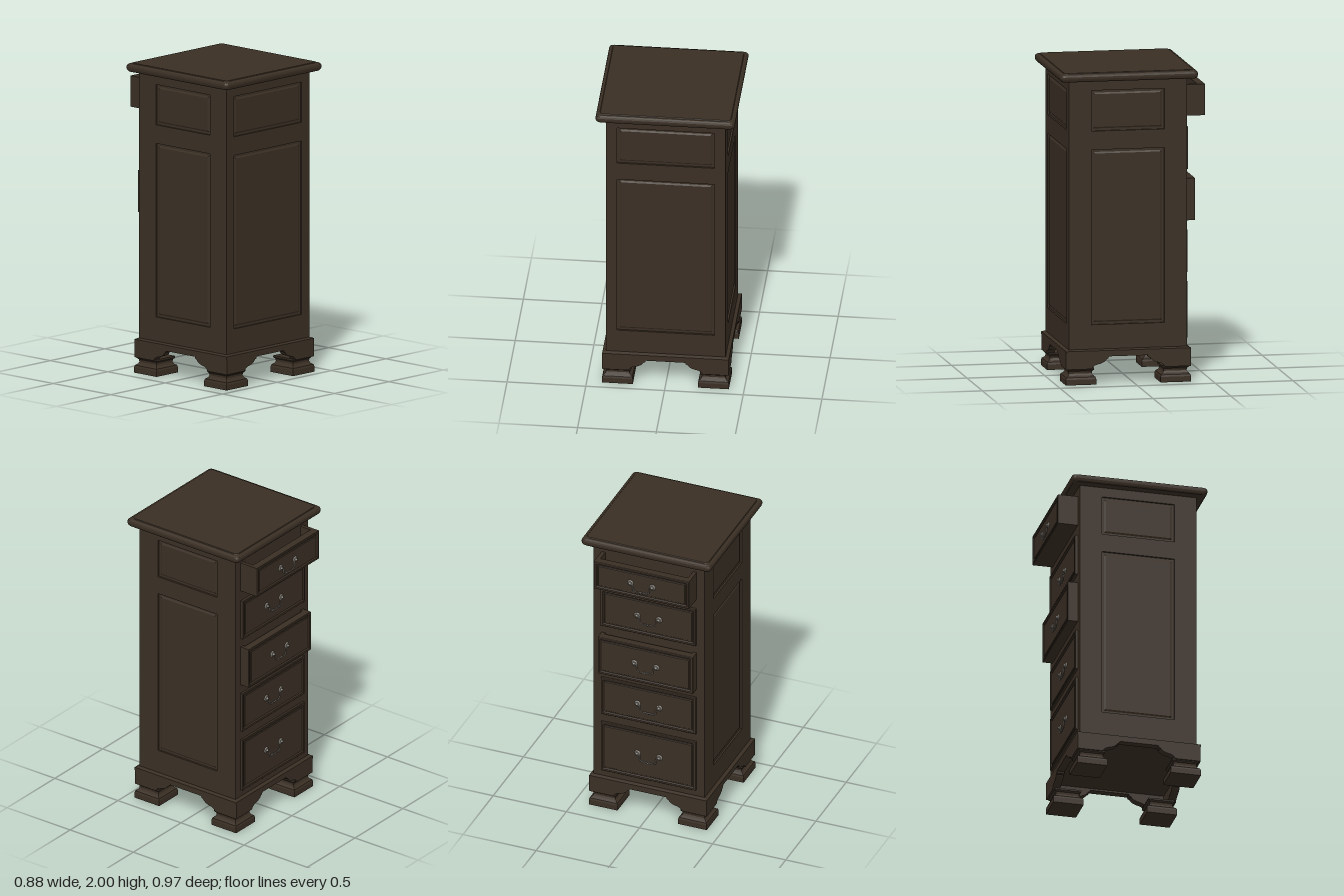
import * as THREE from 'three';

const wood = new THREE.MeshStandardMaterial({ color: 0x3a2f24 });
wood.name = 'dark walnut';
const metal = new THREE.MeshStandardMaterial({ color: 0x8c877f });
metal.name = 'aged pewter';

function add(parent, name, geometry, material, x = 0, y = 0, z = 0) {
  const mesh = new THREE.Mesh(geometry, material);
  mesh.name = name;
  mesh.position.set(x, y, z);
  parent.add(mesh);
  return mesh;
}

const box = (w, h, d) => new THREE.BoxGeometry(w, h, d);

// Stacks rectangles [halfX, halfZ, y] into a closed solid, with optional rounded corners
function loft(sections, radius = 0) {
  const n = radius ? 4 : 0;
  const rings = sections.map(([hx, hz, y]) => {
    const ring = [];
    [[1, 1], [-1, 1], [-1, -1], [1, -1]].forEach(([sx, sz], c) => {
      for (let i = 0; i <= n; i++) {
        const a = (c + (n ? i / n : 0)) * Math.PI / 2;
        ring.push([sx * (hx - radius) + radius * Math.cos(a), y, sz * (hz - radius) + radius * Math.sin(a)]);
        if (!n) ring[ring.length - 1] = [sx * hx, y, sz * hz];
      }
    });
    return ring;
  });
  const out = [];
  const tri = (...p) => p.forEach((v) => out.push(...v));
  const count = rings[0].length;
  const bottom = [0, sections[0][2], 0];
  const top = [0, sections[sections.length - 1][2], 0];
  for (let j = 0; j < count; j++) {
    const k = (j + 1) % count;
    for (let i = 0; i < rings.length - 1; i++) {
      tri(rings[i][j], rings[i + 1][j], rings[i][k]);
      tri(rings[i][k], rings[i + 1][j], rings[i + 1][k]);
    }
    tri(bottom, rings[0][j], rings[0][k]);
    tri(top, rings[rings.length - 1][k], rings[rings.length - 1][j]);
  }
  const geometry = new THREE.BufferGeometry();
  geometry.setAttribute('position', new THREE.Float32BufferAttribute(out, 3));
  geometry.computeVertexNormals();
  return geometry;
}

// Carcass wall with two recessed panels, facing +z
function panelledWall(halfPanel) {
  const wall = new THREE.Group();
  wall.name = 'panelledWall';
  const shape = new THREE.Shape();
  shape.moveTo(-0.38, 0.2).lineTo(0.38, 0.2).lineTo(0.38, 1.95).lineTo(-0.38, 1.95).closePath();
  for (const [y0, y1] of [[0.38, 1.5], [1.62, 1.88]]) {
    const hole = new THREE.Path();
    hole.moveTo(-halfPanel, y0).lineTo(-halfPanel, y1).lineTo(halfPanel, y1).lineTo(halfPanel, y0).closePath();
    shape.holes.push(hole);
    const h = (y1 - y0) / 2;
    const field = add(wall, 'raisedPanel', loft([
      [halfPanel - 0.012, h - 0.012, -0.002], [halfPanel - 0.025, h - 0.025, 0.006],
    ]), wood, 0, (y0 + y1) / 2, 0.368);
    field.rotation.x = Math.PI / 2;
  }
  add(wall, 'wallFrame', new THREE.ExtrudeGeometry(shape, { depth: 0.012, bevelEnabled: false }), wood, 0, 0, 0.368);
  return wall;
}

// Shaped apron running between two feet, facing +z
function apron() {
  const s = new THREE.Shape();
  s.moveTo(-0.4, 0.1).lineTo(-0.235, 0.1);
  s.quadraticCurveTo(-0.225, 0.125, -0.19, 0.13);
  s.quadraticCurveTo(-0.15, 0.14, -0.14, 0.162);
  s.lineTo(-0.13, 0.165).lineTo(-0.125, 0.178).lineTo(0.125, 0.178).lineTo(0.13, 0.165).lineTo(0.14, 0.162);
  s.quadraticCurveTo(0.15, 0.14, 0.19, 0.13);
  s.quadraticCurveTo(0.225, 0.125, 0.235, 0.1);
  s.lineTo(0.4, 0.1).lineTo(0.4, 0.215).lineTo(-0.4, 0.215).closePath();
  return new THREE.ExtrudeGeometry(s, { depth: 0.05, bevelEnabled: false, curveSegments: 6 });
}

// Swinging bail pull with two rosettes, facing -z
function pull() {
  const g = new THREE.Group();
  g.name = 'drawerPull';
  for (const s of [-1, 1]) {
    const plate = add(g, 'rosette', new THREE.CylinderGeometry(0.014, 0.021, 0.006, 14), metal, s * 0.075, 0, -0.003);
    plate.rotation.x = -Math.PI / 2;
    add(g, 'rosetteKnob', new THREE.SphereGeometry(0.009, 12, 8), metal, s * 0.075, 0, -0.01);
  }
  const pts = [[-0.075, 0], [-0.056, -0.012], [-0.055, -0.038], [-0.038, -0.053], [-0.015, -0.05], [0, -0.053],
    [0.015, -0.05], [0.038, -0.053], [0.055, -0.038], [0.056, -0.012], [0.075, 0]];
  const path = new THREE.CatmullRomCurve3(pts.map(([x, y]) => new THREE.Vector3(x, y, -0.01)));
  add(g, 'bail', new THREE.TubeGeometry(path, 48, 0.0038, 8), metal);
  add(g, 'bailBead', new THREE.SphereGeometry(0.006, 10, 8), metal, 0, -0.053, -0.01);
  return g;
}

// Open-topped drawer; face is the z of its front
function drawer(y0, y1, face, pullY) {
  const g = new THREE.Group();
  g.name = 'drawer';
  const h = (y1 - y0) / 2, y = (y0 + y1) / 2, w = 0.325, back = -0.372;
  const thick = Math.min(0.05, back - face);
  const front = add(g, 'drawerFront', loft([
    [w, h, -thick], [w, h, -0.002], [w - 0.002, h - 0.002, 0], [w - 0.014, h - 0.014, 0],
    [w - 0.02, h - 0.02, -0.008], [w - 0.026, h - 0.026, -0.008], [w - 0.03, h - 0.03, -0.003],
  ]), wood, 0, y, face);
  front.rotation.x = -Math.PI / 2;
  const depth = back - face - thick;
  if (depth > 0.005) {
    const z = face + thick + depth / 2;
    for (const s of [-1, 1]) add(g, 'drawerSide', box(0.025, 2 * h, depth), wood, s * (w - 0.0125), y, z);
    add(g, 'drawerBottom', box(2 * w - 0.05, 0.02, depth), wood, 0, y0 + 0.01, z);
  }
  const handle = pull();
  handle.position.set(0, pullY, face + 0.003);
  g.add(handle);
  return g;
}

export function createModel() {
  const model = new THREE.Group();
  model.name = 'drawerCabinet';
  const cabinet = new THREE.Group();
  cabinet.name = 'cabinet';
  cabinet.position.z = 0.04;
  model.add(cabinet);

  // Carcass with three panelled walls and a plain drawer side
  add(cabinet, 'carcass', box(0.736, 1.75, 0.748), wood, 0, 1.075, -0.006);
  [[0, 0.31], [Math.PI / 2, 0.235], [-Math.PI / 2, 0.235]].forEach(([turn, half]) => {
    const wall = panelledWall(half);
    wall.rotation.y = turn;
    cabinet.add(wall);
  });

  // Moulded top
  add(cabinet, 'top', loft([
    [0.418, 0.418, 1.943], [0.43, 0.43, 1.945], [0.438, 0.438, 1.953], [0.442, 0.442, 1.966],
    [0.442, 0.442, 1.978], [0.438, 0.438, 1.988], [0.43, 0.43, 1.994], [0.418, 0.418, 1.996], [0.414, 0.414, 2],
  ], 0.022), wood, 0, 0, -0.002);

  // Base moulding, aprons and feet
  add(cabinet, 'baseMoulding', loft([[0.4, 0.4, 0.19], [0.402, 0.402, 0.2], [0.402, 0.402, 0.216], [0.384, 0.384, 0.224]]), wood);
  for (let i = 0; i < 4; i++) {
    const side = new THREE.Group();
    side.name = 'baseSide';
    side.rotation.y = i * Math.PI / 2;
    add(side, 'apron', apron(), wood, 0, 0, 0.352);
    add(side, 'foot', loft([
      [0.098, 0.098, 0], [0.098, 0.098, 0.035], [0.094, 0.094, 0.048], [0.08, 0.08, 0.058], [0.074, 0.074, 0.07],
      [0.076, 0.076, 0.085], [0.086, 0.086, 0.095], [0.086, 0.086, 0.106],
    ]), wood, 0.305, 0, 0.305);
    cabinet.add(side);
  }

  // Drawers, some pulled out: bottom, top, face position, pull height
  [[1.69, 1.89, -0.51, 1.79], [1.35, 1.62, -0.4, 1.485], [1.02, 1.29, -0.445, 1.155],
    [0.69, 0.96, -0.396, 0.825], [0.27, 0.63, -0.396, 0.455]].forEach((d) => cabinet.add(drawer(...d)));
  return model;
}
